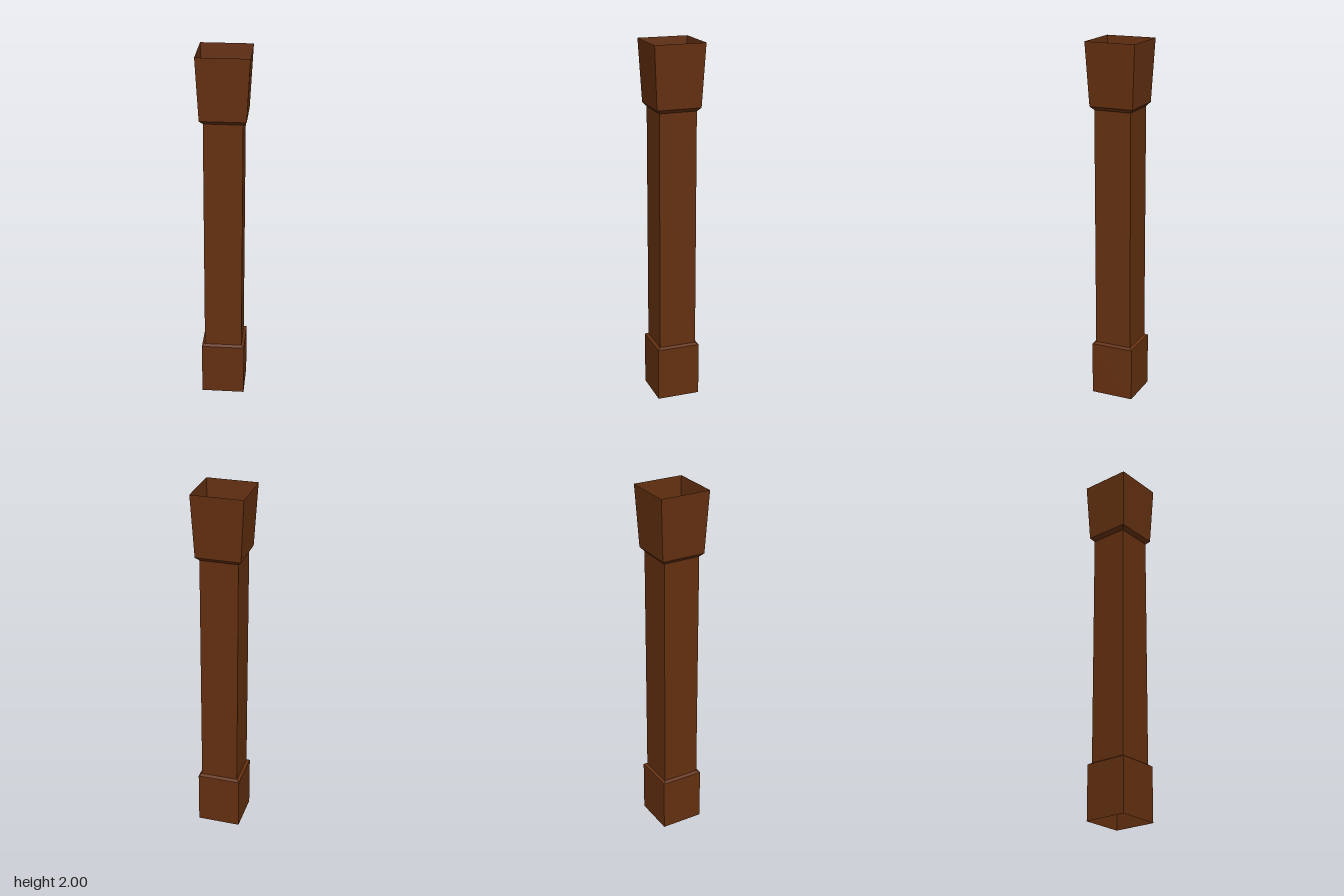
import * as THREE from 'three';

// Open square tube: profile of [half width, height] pairs, bottom to top
function squareTube(name, profile, material) {
  const points = profile.map(([w, y]) => new THREE.Vector2(w * Math.SQRT2, y));
  const geometry = new THREE.LatheGeometry(points, 4, Math.PI / 4).toNonIndexed();
  geometry.computeVertexNormals(); // flat faces
  const mesh = new THREE.Mesh(geometry, material);
  mesh.name = name;
  return mesh;
}

export function createModel() {
  const wood = new THREE.MeshStandardMaterial({ color: 0x643010, side: THREE.DoubleSide });
  wood.name = 'dark brown wood';

  const column = new THREE.Group();
  column.name = 'column';
  column.add(
    // Straight plinth with a small chamfer up to the shaft
    squareTube('base', [[0.12, 0], [0.12, 0.3], [0.104, 0.31]], wood),
    squareTube('shaft', [[0.104, 0.31], [0.104, 1.64]], wood),
    // Chamfered underside, then a flare to the open top
    squareTube('capital', [[0.104, 1.64], [0.123, 1.66], [0.14, 2]], wood),
  );
  return column;
}
